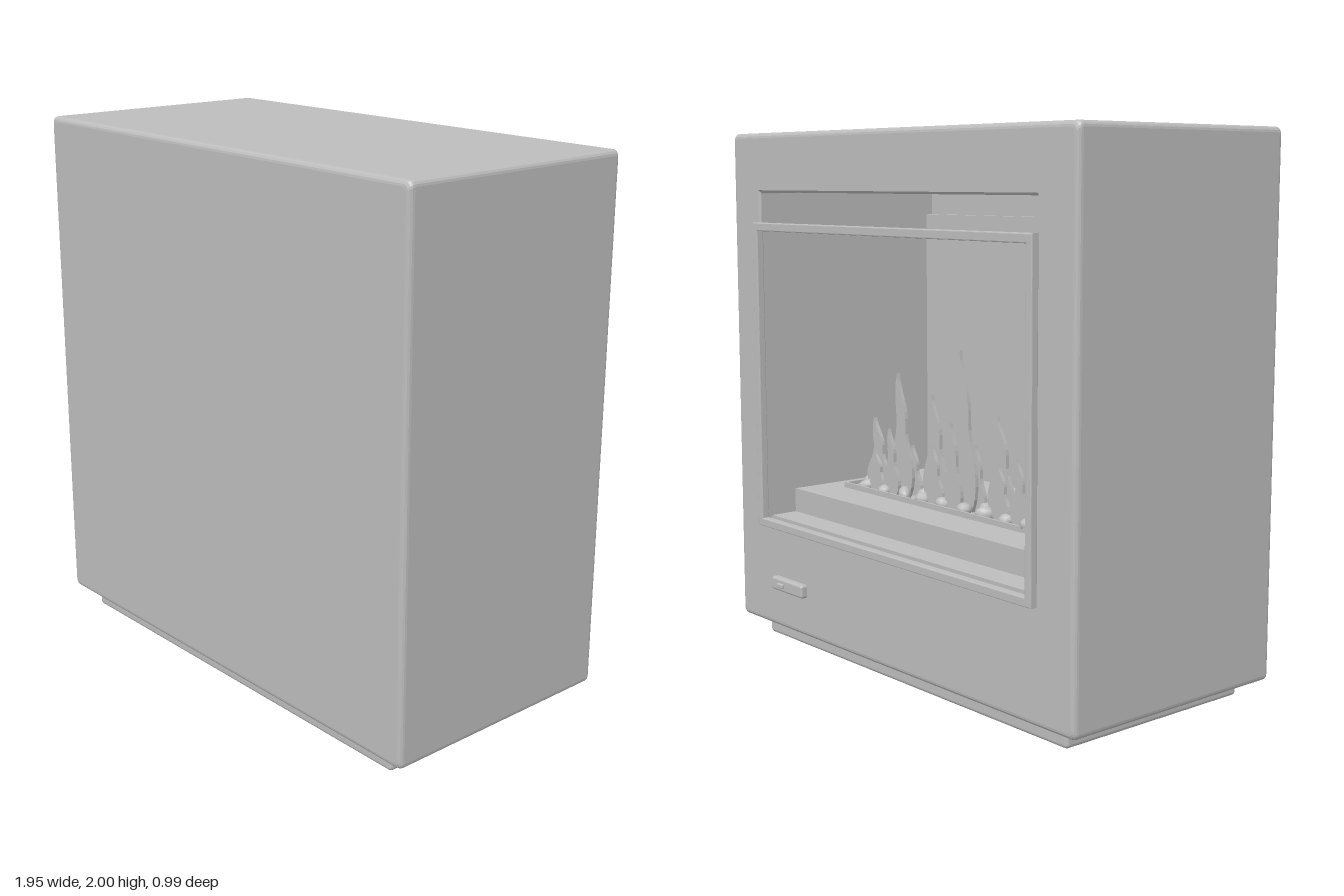
import * as THREE from 'three';
import { RoundedBoxGeometry } from 'three/addons/geometries/RoundedBoxGeometry.js';

// Rounded rectangle loop, counter-clockwise seen from +z
function ring(hw, hh, cy, r, z) {
  const pts = [];
  const corners = [[1, 1], [-1, 1], [-1, -1], [1, -1]];
  corners.forEach(([sx, sy], c) => {
    for (let i = 0; i <= 4; i++) {
      const a = (c + i / 4) * Math.PI / 2;
      pts.push([sx * Math.max(hw - r, 0) + r * Math.cos(a), cy + sy * Math.max(hh - r, 0) + r * Math.sin(a), z]);
    }
  });
  return pts;
}

// Skin a surface over successive loops
function loft(rings) {
  const pos = [];
  for (let k = 0; k < rings.length - 1; k++) {
    const a = rings[k], b = rings[k + 1], n = a.length;
    for (let i = 0; i < n; i++) {
      const j = (i + 1) % n;
      pos.push(...a[i], ...b[i], ...b[j], ...a[i], ...b[j], ...a[j]);
    }
  }
  const g = new THREE.BufferGeometry();
  g.setAttribute('position', new THREE.Float32BufferAttribute(pos, 3));
  g.computeVertexNormals();
  return g;
}

function rectPath(p, x, y0, y1) {
  p.moveTo(-x, y0);
  p.lineTo(x, y0);
  p.lineTo(x, y1);
  p.lineTo(-x, y1);
  p.closePath();
  return p;
}

// Wavy tongue of flame, leaning to +x at the tip
function flameGeometry(w, h) {
  const s = new THREE.Shape();
  s.moveTo(-0.3 * w, 0);
  s.bezierCurveTo(-0.75 * w, 0.25 * h, -0.1 * w, 0.4 * h, -0.18 * w, 0.58 * h);
  s.bezierCurveTo(-0.22 * w, 0.75 * h, 0.1 * w, 0.85 * h, 0.16 * w, h);
  s.bezierCurveTo(0.34 * w, 0.8 * h, 0.12 * w, 0.68 * h, 0.22 * w, 0.52 * h);
  s.bezierCurveTo(0.3 * w, 0.38 * h, 0.75 * w, 0.22 * h, 0.3 * w, 0);
  s.closePath();
  const g = new THREE.ExtrudeGeometry(s, { depth: 0.014, bevelEnabled: false, curveSegments: 8 });
  return g.translate(0, 0, -0.007);
}

export function createModel() {
  const model = new THREE.Group();
  const gray = new THREE.MeshStandardMaterial({ color: 0xbcbcbc });
  gray.name = 'plain gray';

  const add = (name, geo, x = 0, y = 0, z = 0, parent = model) => {
    const m = new THREE.Mesh(geo, gray);
    m.name = name;
    m.position.set(x, y, z);
    parent.add(m);
    return m;
  };
  const box = (name, x0, x1, y0, y1, z0, z1, r = 0, parent = model) => {
    const geo = r
      ? new RoundedBoxGeometry(x1 - x0, y1 - y0, z1 - z0, 3, r)
      : new THREE.BoxGeometry(x1 - x0, y1 - y0, z1 - z0);
    return add(name, geo, (x0 + x1) / 2, (y0 + y1) / 2, (z0 + z1) / 2, parent);
  };

  // Cabinet: closed at +z, firebox recessed from -z, all in one skin
  const W = 0.975, H = 0.965, CY = 1.035, R = 0.02, Z0 = -0.46, Z1 = 0.495;
  const hw = 0.79, hh = 0.6425, hy = 1.1325;
  const rings = [ring(0, 0, CY, 0, Z1)];
  for (const side of [1, -1]) {
    for (let i = 0; i <= 4; i++) {
      const t = (side > 0 ? i : 4 - i) / 4 * Math.PI / 2;
      const inset = R * (1 - Math.sin(t)), dz = R * (1 - Math.cos(t));
      rings.push(ring(W - inset, H - inset, CY, R, side > 0 ? Z1 - dz : Z0 + dz));
    }
  }
  rings.push(
    ring(hw + 0.008, hh + 0.008, hy, 0.004, Z0),
    ring(hw, hh, hy, 0.004, Z0 + 0.008),
    ring(hw, hh, hy, 0.004, 0.39),
    ring(0, 0, hy, 0, 0.39)
  );
  add('cabinet', loft(rings));
  box('plinth', -0.875, 0.875, 0, 0.1, -0.395, 0.44, 0.015);

  // Firebox lining and hearth
  box('fireboxBackPanel', -0.785, 0.785, 0.49, 1.68, 0.355, 0.395);
  box('fireboxFloor', -0.789, 0.789, 0.48, 0.503, -0.43, 0.39);
  box('hearth', -0.789, 0.789, 0.5, 0.597, -0.32, 0.37);

  // Screen frame standing proud of the opening
  const frame = rectPath(new THREE.Shape(), 0.796, 0.474, 1.656);
  frame.holes.push(rectPath(new THREE.Path(), 0.774, 0.498, 1.632));
  const frameGeo = new THREE.ExtrudeGeometry(frame, {
    depth: 0.022, bevelThickness: 0.004, bevelSize: 0.004, bevelSegments: 2
  });
  add('screenFrame', frameGeo, 0, 0, -0.484);

  // Burner tray with rim
  const burner = new THREE.Group();
  burner.name = 'burner';
  model.add(burner);
  const trayZ = -0.09;
  box('burnerTray', -0.68, 0.68, 0.59, 0.604, trayZ - 0.065, trayZ + 0.065, 0, burner);
  for (const s of [-1, 1]) {
    const z = trayZ + s * 0.062, x = s * 0.677;
    box('trayRim', -0.68, 0.68, 0.59, 0.618, z - 0.005, z + 0.005, 0, burner);
    box('trayEnd', x - 0.005, x + 0.005, 0.59, 0.618, trayZ - 0.065, trayZ + 0.065, 0, burner);
  }

  // Flames: x position and tip height, each with a small one beside it
  const flames = [[0.53, 0.89], [0.38, 1.08], [0.17, 1.02], [0, 1.2], [-0.21, 0.98], [-0.37, 1.05], [-0.54, 0.86]];
  flames.forEach(([x, top], i) => {
    const h = top - 0.6, s = i % 2 ? 1 : -1;
    add('flame', flameGeometry(0.15, h), x, 0.6, trayZ, burner);
    add('smallFlame', flameGeometry(0.1, h * 0.55), x + s * 0.03, 0.6, trayZ - 0.028, burner);
    add('smallFlame', flameGeometry(0.09, h * 0.42), x - s * 0.045, 0.6, trayZ + 0.028, burner);
  });

  // Pebbles scattered along the tray
  let seed = 7;
  const rand = () => (seed = (seed * 16807) % 2147483647) / 2147483647;
  const pebble = new THREE.SphereGeometry(0.034, 10, 7);
  for (let i = 0; i < 22; i++) {
    const m = add('pebble', pebble, -0.63 + i * 0.06, 0.618, trayZ + (i % 2 ? 0.026 : -0.03), burner);
    m.scale.set(0.9 + rand() * 0.4, 0.6 + rand() * 0.3, 0.75 + rand() * 0.2);
    m.rotation.set(0, rand() * 3, (rand() - 0.5) * 0.6);
  }

  // Control panel
  box('controlPanel', 0.51, 0.72, 0.226, 0.278, -0.486, -0.45, 0.01);
  box('controlButton', 0.63, 0.667, 0.244, 0.26, -0.496, -0.48, 0.004);

  return model;
}
